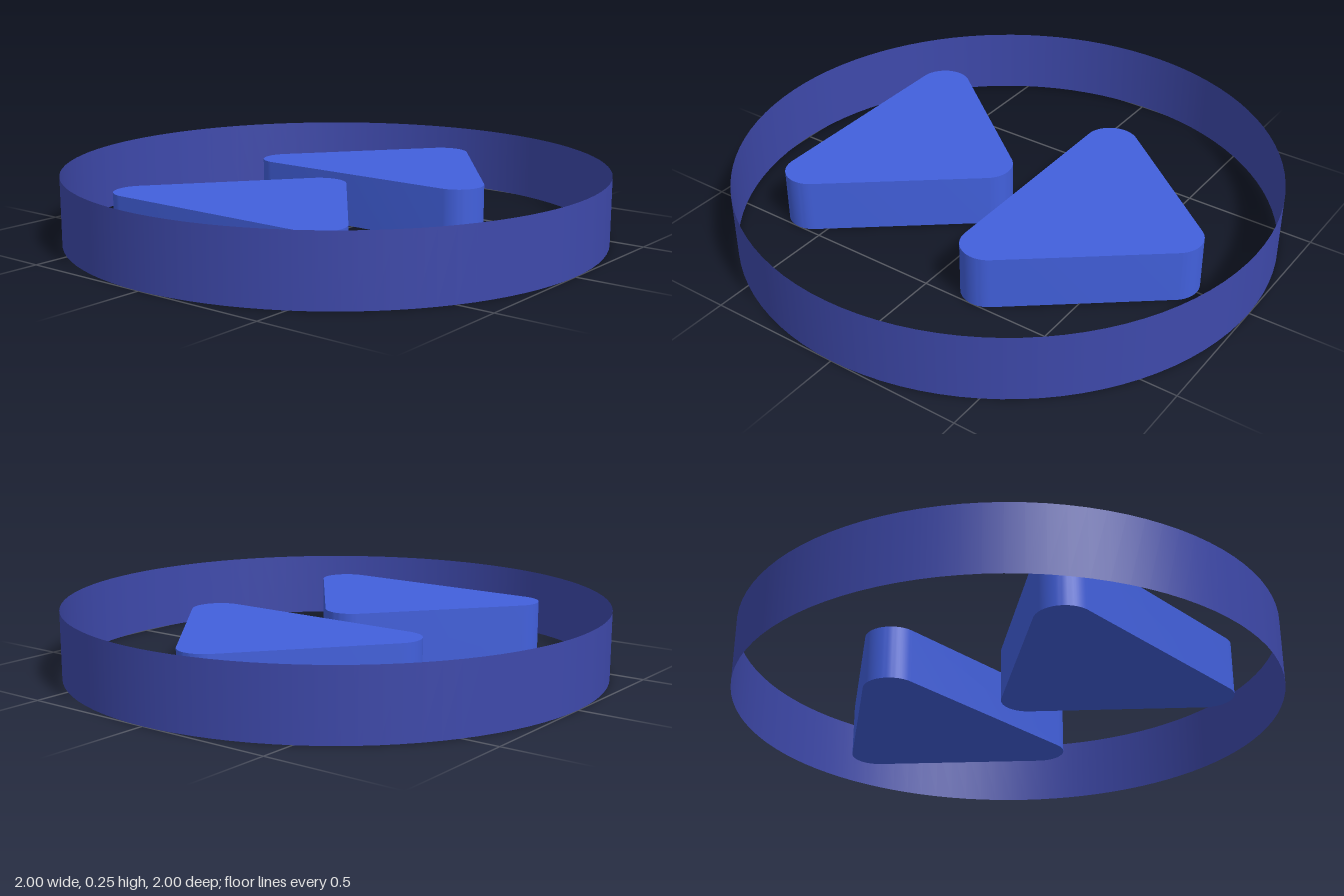
import * as THREE from 'three';
import { toCreasedNormals } from 'three/addons/utils/BufferGeometryUtils.js';

const RING_HEIGHT = 0.25;
const ARROW_HEIGHT = 0.2;
const CORNER = 0.1;

// Rounded triangle pointing to +x, flat edge at x = 0, tip at x = 0.7
function arrowShape() {
  const shape = new THREE.Shape();
  const turn = Math.atan2(0.5, 0.4); // direction of the sloped edges' normals
  shape.absarc(0.1, -0.4, CORNER, Math.PI, 2 * Math.PI - (Math.PI / 2 - (Math.PI / 2 - turn)), false);
  shape.absarc(0.6, 0, CORNER, -turn, turn, false);
  shape.absarc(0.1, 0.4, CORNER, turn, Math.PI, false);
  shape.closePath();
  return shape;
}

export function createModel() {
  const group = new THREE.Group();
  const ringBlue = new THREE.MeshStandardMaterial({ color: 0x3e49ab, side: THREE.DoubleSide });
  ringBlue.name = 'ring blue';
  const arrowBlue = new THREE.MeshStandardMaterial({ color: 0x4260dc });
  arrowBlue.name = 'arrow blue';

  // Thin open band
  const ring = new THREE.Mesh(new THREE.CylinderGeometry(1, 1, RING_HEIGHT, 96, 1, true), ringBlue);
  ring.name = 'ring';
  ring.position.y = RING_HEIGHT / 2;
  group.add(ring);

  // Two identical arrows lying flat, side by side
  const extruded = new THREE.ExtrudeGeometry(arrowShape(), {
    depth: ARROW_HEIGHT, bevelEnabled: false, curveSegments: 12,
  });
  extruded.rotateX(-Math.PI / 2);
  const arrowGeometry = toCreasedNormals(extruded, Math.PI / 5);
  [['rightArrow', -0.7], ['leftArrow', 0.1]].forEach(([name, x]) => {
    const arrow = new THREE.Mesh(arrowGeometry, arrowBlue);
    arrow.name = name;
    arrow.position.x = x;
    group.add(arrow);
  });

  return group;
}
